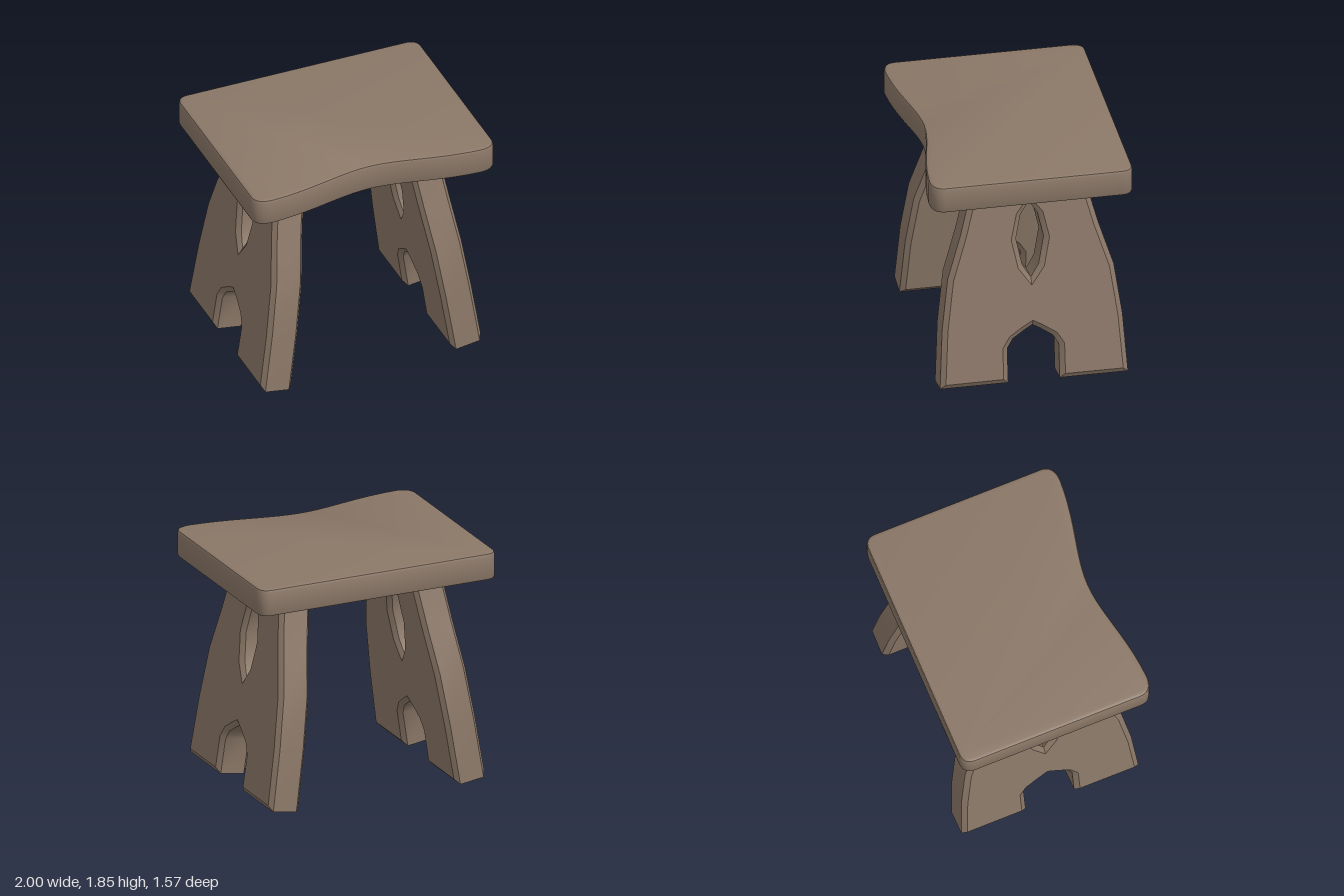
import * as THREE from 'three';
import { toCreasedNormals } from 'three/addons/utils/BufferGeometryUtils.js';

const wood = new THREE.MeshStandardMaterial({ color: 0x8a7767 });
wood.name = 'brown wood';

// Bevelled board whose outline stays at the drawn size; depth is the full thickness
function board(shape, depth, bevelThickness, bevelSize, bevelSegments) {
  const geometry = new THREE.ExtrudeGeometry(shape, {
    depth: depth - 2 * bevelThickness, bevelThickness, bevelSize,
    bevelOffset: -bevelSize, bevelSegments, curveSegments: 10,
  });
  geometry.translate(0, 0, bevelThickness - depth / 2);
  return toCreasedNormals(geometry, 0.55);
}

// Closed symmetric outline from [half width, height] points on one side, bottom to top
function mirrored(half) {
  const other = half.filter(([x]) => x > 0).reverse().map(([x, y]) => [-x, y]);
  return [...half, ...other].map(([x, y]) => new THREE.Vector2(x, y));
}

function seatGeometry() {
  const s = new THREE.Shape();
  // hollowed front edge, drawn with shape y = -z
  s.moveTo(-0.86, -0.78);
  s.bezierCurveTo(-0.5, -0.765, -0.25, -0.65, 0, -0.65);
  s.bezierCurveTo(0.25, -0.65, 0.5, -0.765, 0.86, -0.78);
  // rounded corners and straight back
  s.bezierCurveTo(0.95, -0.78, 1, -0.74, 1, -0.67);
  s.lineTo(1, 0.69);
  s.quadraticCurveTo(1, 0.79, 0.9, 0.79);
  s.lineTo(-0.9, 0.79);
  s.quadraticCurveTo(-1, 0.79, -1, 0.69);
  s.lineTo(-1, -0.67);
  s.bezierCurveTo(-1, -0.74, -0.95, -0.78, -0.86, -0.78);
  const geometry = board(s, 0.22, 0.025, 0.025, 2);
  geometry.rotateX(-Math.PI / 2);
  return geometry;
}

function legGeometry() {
  // flared sides with an arched notch between the feet
  const side = [[0.2, 0], [0.73, 0], [0.7, 0.48], [0.645, 0.89], [0.535, 1.24], [0.43, 1.64], [0.41, 1.73]];
  const notch = [[0, 0.455], [0.06, 0.42], [0.155, 0.355], [0.2, 0.28]];
  const shape = new THREE.Shape(mirrored([...notch, ...side]));
  // pointed hand hole
  const hole = mirrored([[0, 0.845], [0.064, 0.95], [0.108, 1.17], [0.066, 1.365], [0, 1.465]]);
  shape.holes.push(new THREE.Path(hole));
  const geometry = board(shape, 0.257, 0.03, 0.04, 1);
  geometry.rotateY(Math.PI / 2);
  // splay the foot outwards
  geometry.rotateZ(THREE.MathUtils.degToRad(8.4));
  geometry.translate(0.79, 0.0144, 0);
  return geometry;
}

export function createModel() {
  const model = new THREE.Group();
  model.name = 'stool';

  const seat = new THREE.Mesh(seatGeometry(), wood);
  seat.name = 'seat';
  seat.position.y = 1.74;
  model.add(seat);

  // two board legs facing each other
  const geometry = legGeometry();
  for (const [name, turn] of [['leftLeg', 0], ['rightLeg', Math.PI]]) {
    const leg = new THREE.Mesh(geometry, wood);
    leg.name = name;
    leg.rotation.y = turn;
    leg.position.z = -0.033;
    model.add(leg);
  }
  return model;
}
